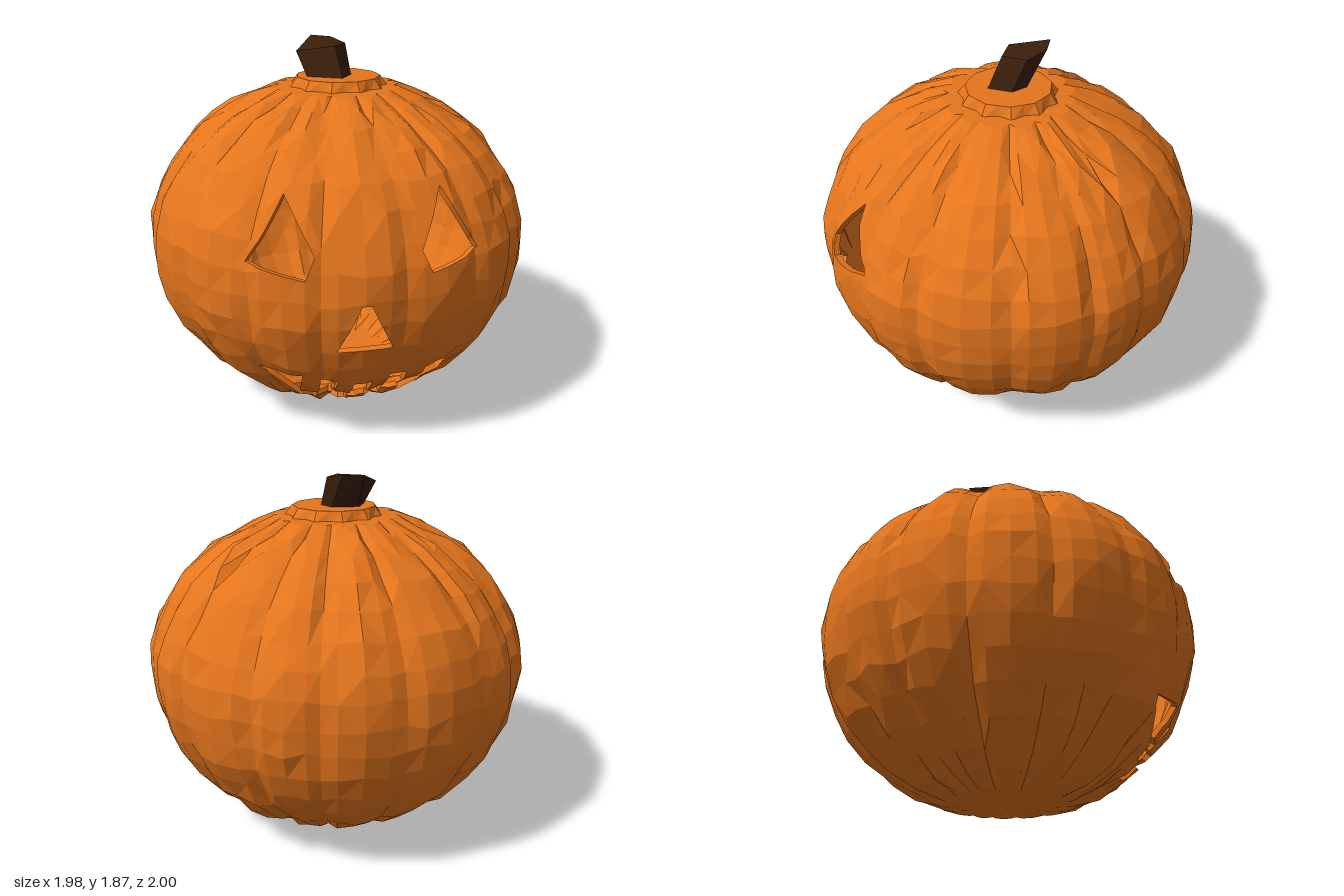
import * as THREE from 'three';
import { ConvexGeometry } from 'three/addons/geometries/ConvexGeometry.js';

const V = (x, y, z) => new THREE.Vector3(x, y, z);
const CENTRE = V(0, 0.84, 0);
const INNER = 0.97; // inner skin as a fraction of the outer skin

// Seeded noise in -1..1
function makeNoise(seed) {
  return () => {
    seed = (seed * 1664525 + 1013904223) % 4294967296;
    return seed / 2147483648 - 1;
  };
}

// Radius and height pairs, bottom to top
const PROFILE = [
  [0.17, 0.01], [0.345, 0.022], [0.485, 0.07], [0.61, 0.145], [0.73, 0.245], [0.835, 0.365], [0.91, 0.49],
  [0.962, 0.62], [0.993, 0.75], [1.0, 0.87], [0.99, 1.0], [0.952, 1.12], [0.89, 1.24], [0.805, 1.355],
  [0.7, 1.45], [0.58, 1.53], [0.455, 1.59], [0.335, 1.64], [0.2, 1.645],
];

// Ribbed skin as a list of triangles
function skinTriangles() {
  const rand = makeNoise(11);
  const ribs = 16, across = [[0, 1], [0.2, 0.3], [0.5, 0], [0.8, 0.25]];
  const starts = Array.from({ length: ribs }, (_, k) => k - 0.5 + rand() * 0.14);
  const columns = [];
  starts.forEach((s, k) => {
    const next = k + 1 < ribs ? starts[k + 1] : starts[0] + ribs;
    for (const [u, dent] of across) columns.push([(s + (next - s) * u) * Math.PI * 2 / ribs, dent]);
  });
  const rings = PROFILE.map(([r, y], i) => {
    const pole = Math.abs(y - 0.84) / 0.82;
    const depth = 0.026 + 0.1 * pole ** 3;
    const rough = i > 1 && i < PROFILE.length - 2 ? 0.008 : 0;
    return columns.map(([a, dent]) => {
      const rr = r * (1 - depth * dent) + (rand() - 0.6) * rough;
      return V(Math.sin(a) * rr, y + rand() * rough * 2, Math.cos(a) * rr);
    });
  });
  const n = columns.length, tris = [], bottom = V(0, 0, 0), top = V(0, 1.645, 0);
  for (let j = 0; j < n; j++) {
    const k = (j + 1) % n, last = rings[rings.length - 1];
    tris.push([bottom, rings[0][k], rings[0][j]], [top, last[j], last[k]]);
    for (let i = 0; i + 1 < rings.length; i++) {
      const a = rings[i][j], b = rings[i][k], c = rings[i + 1][k], d = rings[i + 1][j];
      if ((i + j) % 2) tris.push([a, b, c], [a, c, d]);
      else tris.push([a, b, d], [b, c, d]);
    }
  }
  return tris;
}

// Face openings: convex pieces wound anticlockwise, plus the outline of each
const eye = [[0.35, 1.32], [0.238, 1.08], [0.285, 0.98], [0.53, 1.03]];
const eyeRight = eye.map(([x, y]) => [-x, y]).reverse();
const nose = [[-0.04, 0.87], [-0.145, 0.62], [0.11, 0.63], [0, 0.87]];
// Mouth columns: x0, x1, top left, top right, bottom left, bottom right
const mouth = [
  [-0.48, -0.29, 0.44, 0.44, 0.435, 0.25], [-0.29, -0.2, 0.28, 0.275, 0.25, 0.19],
  [-0.2, -0.12, 0.4, 0.39, 0.22, 0.2], [-0.12, -0.05, 0.27, 0.26, 0.13, 0.13],
  [-0.05, 0.04, 0.39, 0.39, 0.2, 0.2], [0.04, 0.13, 0.26, 0.25, 0.13, 0.14],
  [0.13, 0.21, 0.4, 0.42, 0.21, 0.23], [0.21, 0.31, 0.31, 0.34, 0.15, 0.245],
  [0.31, 0.44, 0.44, 0.44, 0.245, 0.435],
];
const mouthPieces = mouth.map(([a, b, ta, tb, ba, bb]) => [[a, ta], [a, ba], [b, bb], [b, tb]]);
const mouthOutline = [
  ...mouthPieces.flatMap((p) => [p[1], p[2]]),
  ...[...mouthPieces].reverse().flatMap((p) => [p[3], p[0]]),
];
const openings = [
  { pieces: [eye], outline: eye }, { pieces: [eyeRight], outline: eyeRight },
  { pieces: [nose], outline: nose }, { pieces: mouthPieces, outline: mouthOutline },
];

// Split a flat polygon by the upright plane through a and b
function split(poly, a, b) {
  const side = (p) => (b[0] - a[0]) * (p.y - a[1]) - (b[1] - a[1]) * (p.x - a[0]);
  const inside = [], outside = [];
  poly.forEach((p, i) => {
    const q = poly[(i + 1) % poly.length], sp = side(p), sq = side(q);
    if (sp >= 0) inside.push(p);
    if (sp <= 0) outside.push(p);
    if (sp * sq < 0) {
      const m = p.clone().lerp(q, sp / (sp - sq));
      inside.push(m);
      outside.push(m);
    }
  });
  return [inside, outside];
}

// Remove a convex piece; returns what stays and what is cut away
function subtract(poly, piece) {
  const kept = [];
  let rest = poly;
  for (let i = 0; i < piece.length; i++) {
    const [inside, outside] = split(rest, piece[i], piece[(i + 1) % piece.length]);
    if (outside.length > 2) kept.push(outside);
    if (inside.length < 3) return { kept: [poly], cut: null };
    rest = inside;
  }
  return { kept, cut: rest };
}

const inward = (p) => p.clone().sub(CENTRE).multiplyScalar(INNER).add(CENTRE);

// Cut walls wherever a removed polygon touches the outline of an opening
function addWalls(cut, outline, walls) {
  cut.forEach((p, i) => {
    const q = cut[(i + 1) % cut.length];
    outline.forEach((a, k) => {
      const b = outline[(k + 1) % outline.length];
      const dx = b[0] - a[0], dy = b[1] - a[1], len = Math.hypot(dx, dy);
      if (len < 1e-6) return;
      const off = (v) => Math.abs(dx * (v.y - a[1]) - dy * (v.x - a[0])) / len;
      if (off(p) > 1e-6 || off(q) > 1e-6) return;
      const along = (v) => ((v.x - a[0]) * dx + (v.y - a[1]) * dy) / (len * len);
      const tp = along(p), tq = along(q);
      const cp = THREE.MathUtils.clamp(tp, 0, 1), cq = THREE.MathUtils.clamp(tq, 0, 1);
      if (Math.abs(cp - cq) < 1e-6) return;
      const s = p.clone().lerp(q, (cp - tp) / (tq - tp));
      const e = p.clone().lerp(q, (cq - tp) / (tq - tp));
      walls.push([s, e, inward(e), inward(s)]);
    });
  });
}

function polygonsToGeometry(polys) {
  const points = [];
  for (const p of polys) for (let i = 1; i + 1 < p.length; i++) points.push(p[0], p[i], p[i + 1]);
  const g = new THREE.BufferGeometry().setFromPoints(points);
  g.computeVertexNormals(); // unshared corners give flat facets
  return g;
}

export function createModel() {
  const group = new THREE.Group();
  const orange = new THREE.MeshStandardMaterial({ color: 0xe4751d });
  orange.name = 'pumpkinOrange';
  const brown = new THREE.MeshStandardMaterial({ color: 0x3a1f0b });
  brown.name = 'stemBrown';
  const add = (name, geometry, material) => {
    const m = new THREE.Mesh(geometry, material);
    m.name = name;
    group.add(m);
  };

  // Carve the face out of the skin
  let skin = skinTriangles();
  const walls = [];
  for (const { pieces, outline } of openings) {
    for (const piece of pieces) {
      skin = skin.flatMap((poly) => {
        if (poly.some((p) => p.z < 0.2)) return [poly];
        const { kept, cut } = subtract(poly, piece);
        if (cut) addWalls(cut, outline, walls);
        return kept;
      });
    }
  }
  add('outerSkin', polygonsToGeometry(skin), orange);
  add('innerSkin', polygonsToGeometry(skin.map((p) => p.map(inward).reverse())), orange);
  add('carvedEdges', polygonsToGeometry(walls), orange);

  // Scalloped collar under the stem
  const collarRing = (r, y, wave) => Array.from({ length: 22 }, (_, i) => {
    const a = i / 22 * Math.PI * 2, rr = r + (i % 2 ? wave : -wave);
    return V(Math.sin(a) * rr + 0.01, y, Math.cos(a) * rr);
  });
  const low = collarRing(0.25, 1.625, 0.015), high = collarRing(0.212, 1.69, 0.004);
  const collar = [high];
  low.forEach((p, i) => {
    const k = (i + 1) % low.length;
    collar.push([p, low[k], high[k], high[i]]);
  });
  add('collar', polygonsToGeometry(collar), orange);

  // Crooked stem leaning backwards
  const stem = [
    V(0.02, 1.68, 0.11), V(0.08, 1.68, 0), V(0.04, 1.68, -0.08), V(-0.1, 1.68, -0.09), V(-0.15, 1.68, 0.03),
    V(-0.01, 1.84, 0.03), V(0.06, 1.84, -0.08), V(0, 1.86, -0.19), V(-0.1, 1.865, -0.23), V(-0.2, 1.81, -0.04),
  ];
  add('stem', new ConvexGeometry(stem), brown);
  return group;
}
